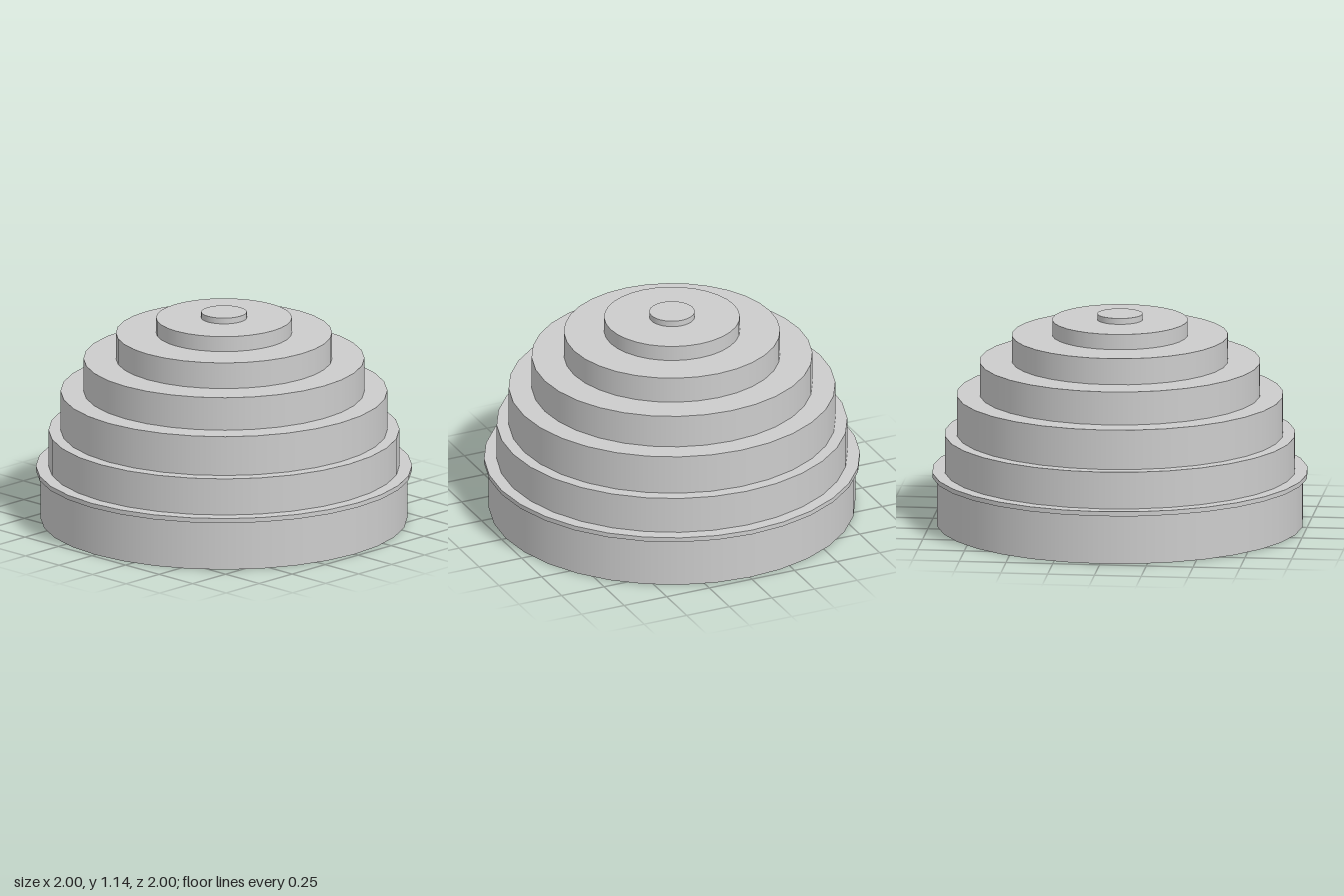
import * as THREE from 'three';

const SEGMENTS = 32;

// Each round step: name, radius, bottom height, top height
const STEPS = [
  ['base', 0.975, 0, 0.265],
  ['rimFlange', 1.0, 0.265, 0.29],
  ['tier1', 0.933, 0.29, 0.49],
  ['tier2', 0.869, 0.49, 0.705],
  ['tier3', 0.747, 0.705, 0.885],
  ['tier4', 0.575, 0.885, 1.027],
  ['tier5', 0.361, 1.027, 1.11],
  ['topCap', 0.121, 1.11, 1.142],
];

export function createModel() {
  const model = new THREE.Group();
  model.name = 'steppedDome';

  const grey = new THREE.MeshStandardMaterial({ color: 0xcccccc });
  grey.name = 'light grey';

  // Concentric discs stacked into a dome
  for (const [name, radius, bottom, top] of STEPS) {
    const step = new THREE.Mesh(
      new THREE.CylinderGeometry(radius, radius, top - bottom, SEGMENTS),
      grey
    );
    step.name = name;
    step.position.y = (bottom + top) / 2;
    model.add(step);
  }

  return model;
}
